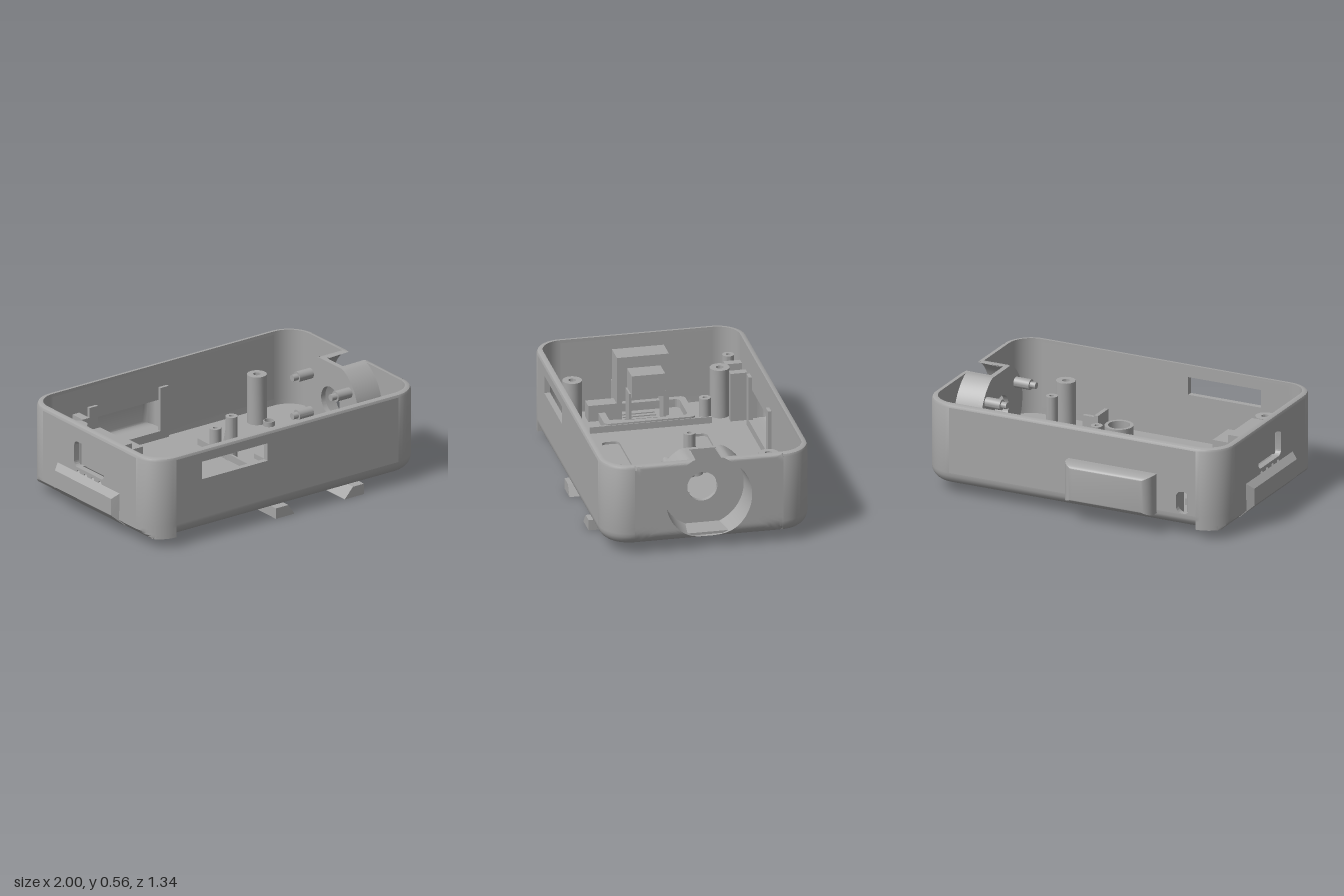
import * as THREE from 'three';
import { toCreasedNormals } from 'three/addons/utils/BufferGeometryUtils.js';

const grey = new THREE.MeshStandardMaterial({ color: 0xa6a6a6, side: THREE.DoubleSide });
grey.name = 'grey plastic';

export function createModel() {
  const model = new THREE.Group();
  const add = (name, geo, crease = 0.6) => {
    const m = new THREE.Mesh(toCreasedNormals(geo, crease), grey);
    m.name = name;
    model.add(m);
    return m;
  };
  const box = (name, x0, x1, y0, y1, z0, z1) =>
    add(name, new THREE.BoxGeometry(x1 - x0, y1 - y0, z1 - z0)
      .translate((x0 + x1) / 2, (y0 + y1) / 2, (z0 + z1) / 2));
  // rectangle with optional rounded corners
  const rect = (x0, y0, x1, y1, r = 0) => {
    const s = new THREE.Shape();
    if (!r) return s.setFromPoints([[x0, y0], [x1, y0], [x1, y1], [x0, y1]].map(p => new THREE.Vector2(...p)));
    s.absarc(x1 - r, y1 - r, r, 0, Math.PI / 2);
    s.absarc(x0 + r, y1 - r, r, Math.PI / 2, Math.PI);
    s.absarc(x0 + r, y0 + r, r, Math.PI, Math.PI * 1.5);
    s.absarc(x1 - r, y0 + r, r, Math.PI * 1.5, Math.PI * 2);
    return s;
  };
  const circle = (x, y, r) => new THREE.Shape().absarc(x, y, r, 0, Math.PI * 2);
  const extrude = (shape, depth, holes = []) => {
    shape.holes.push(...holes);
    return new THREE.ExtrudeGeometry(shape, { depth, bevelEnabled: false, curveSegments: 12 });
  };
  // plan shape (x, z) raised from y0 to y1
  const slab = (shape, y0, y1, holes) => extrude(shape, y1 - y0, holes).rotateX(Math.PI / 2).translate(0, y1, 0);
  // skin over a row of point rings
  const loft = (rings, closed = true, skip = () => false) => {
    const n = rings[0].length, idx = [];
    for (let k = 0; k < rings.length - 1; k++)
      for (let i = 0; i < (closed ? n : n - 1); i++) {
        if (skip(k, i)) continue;
        const a = k * n + i, b = k * n + (i + 1) % n;
        idx.push(a, a + n, b, b, a + n, b + n);
      }
    const g = new THREE.BufferGeometry();
    g.setAttribute('position', new THREE.Float32BufferAttribute(rings.flat(2), 3));
    g.setIndex(idx);
    return g;
  };

  // Case shell: rounded corners, bottom fillet except at the left end
  const N = 10;
  const ring = (y, inset, li, shift = 0) => {
    const pts = [];
    const arc = (cx, cz, r, q) => {
      for (let i = 0; i <= N; i++) {
        const a = (q + i / N) * Math.PI / 2;
        pts.push([Math.max(cx + r * Math.cos(a), -0.96 + shift), y, cz + r * Math.sin(a)]);
      }
    };
    arc(0.82, 0.49, 0.18 - inset, 0);
    pts.push([-0.79, y, 0.67 - inset]);
    arc(-0.79, 0.5, 0.17 - li, 1);
    arc(-0.79, -0.405, 0.17 - li, 2);
    pts.push([-0.79, y, -0.575 + inset]);
    arc(0.82, -0.395, 0.18 - inset, 3);
    return pts;
  };
  const rings = [];
  for (let i = 0; i <= 6; i++) {
    const a = i * Math.PI / 12, y = 0.14 - 0.08 * Math.cos(a);
    rings.push(ring(y, 0.08 * (1 - Math.sin(a)), 0, Math.max(0, 0.1 - y)));
  }
  [[0.545, 0], [0.559, 0.006], [0.565, 0.02], [0.565, 0.035], [0.545, 0.035], [0.14, 0.035], [0.095, 0.035]]
    .forEach(([y, d]) => rings.push(ring(y, d, d)));
  const straight = [N, 2 * N + 2, 3 * N + 4], rightSide = 4 * N + 5;
  add('caseShell', loft(rings, true, (k, i) => i === rightSide || ((k === 6 || k === 11) && straight.includes(i))));

  // Straight wall panels with their openings
  add('frontWall', extrude(rect(-0.79, 0.14, 0.82, 0.545), 0.035, [rect(-0.605, 0.38, -0.13, 0.49)]).translate(0, 0, 0.635));
  add('backWall', extrude(rect(-0.79, 0.14, 0.82, 0.545), 0.035,
    [rect(-0.5, 0.15, 0.01, 0.34), rect(-0.75, 0.14 + 0.005, -0.66, 0.28, 0.04)]).translate(0, 0, -0.575));
  const ports = [rect(-0.1, 0.3, 0.19, 0.46, 0.03)];
  for (let i = 0; i < 4; i++) ports.push(circle(-0.06 + i * 0.07, 0.28 - 0.01, 0.014));
  add('leftWall', extrude(rect(-0.405, 0.14, 0.5, 0.545), 0.035, ports).rotateY(-Math.PI / 2).translate(-0.925, 0, 0));

  // Right wall around the round recess, open at the top
  const CY = 0.325, CZ = 0.0475, HALF = 0.4425, GAP = 0.366;
  const outerX = y => y < 0.14 ? 0.92 + Math.sqrt(Math.max(0, 0.0064 - (0.14 - y) ** 2))
    : y > 0.545 ? 0.98 + Math.sqrt(Math.max(0, 0.0004 - (y - 0.545) ** 2)) : 1;
  const c1 = Math.atan2(HALF, 0.24), c2 = Math.PI - Math.atan2(HALF, 0.265);
  const angles = [c1, c2, 2 * Math.PI - c1, 2 * Math.PI - c2];
  for (let i = 0; i <= 96; i++) angles.push(GAP + (2 * Math.PI - 2 * GAP) * i / 96);
  angles.sort((a, b) => a - b);
  const wallRow = (t, inner) => angles.map(a => {
    const s = Math.sin(a), c = Math.cos(a);
    const R = Math.min(HALF / Math.max(Math.abs(s), 1e-6), (c > 0 ? 0.24 : 0.265) / Math.max(Math.abs(c), 1e-6));
    const r0 = Math.min(0.257, R), r = r0 + (R - r0) * t;
    const y = CY + r * c;
    return inner ? [0.965, Math.max(0.09, y), CZ + r * s] : [outerX(y), y, CZ + r * s];
  });
  const rows = [];
  for (let i = 0; i <= 18; i++) rows.push(wallRow(i / 18, false));
  rows.push(wallRow(1, true), wallRow(0, true));
  add('rightWall', loft(rows, false));

  // Recessed cup and its back plate
  const turned = (profile, gap) => {
    const g = new THREE.LatheGeometry(profile.map(p => new THREE.Vector2(...p)), 72, Math.PI * 1.5 + gap, 2 * Math.PI - 2 * gap)
      .rotateZ(-Math.PI / 2).translate(0, CY, CZ);
    const p = g.attributes.position;
    for (let i = 0; i < p.count; i++) {
      p.setY(i, Math.min(p.getY(i), 0.565));
      p.setX(i, Math.min(p.getX(i), outerX(p.getY(i))));
    }
    return g;
  };
  add('cupWall', turned([[0.257, 1], [0.247, 0.82], [0.268, 0.8], [0.268, 0.97]], 0.3));
  add('cupBackPlate', turned([[0.25, 0.82], [0.09, 0.82], [0.09, 0.79], [0.268, 0.79], [0.268, 0.82], [0.25, 0.82]], 0));
  for (const z of [-0.145, 0.23]) for (const y of [0.2, 0.44])
    for (const [x0, x1, r] of [[0.69, 0.8, 0.032], [0.655, 0.69, 0.02]])
      add('cupPeg', new THREE.CylinderGeometry(r, r, x1 - x0, 20).rotateZ(Math.PI / 2).translate((x0 + x1) / 2, y, z));

  // Floor with screw holes, vents and shallow pockets
  const bosses = [[-0.71, -0.4], [0.59, -0.4], [-0.71, 0.48], [0.59, 0.48]];
  const floorHoles = () => {
    const h = bosses.map(([x, z]) => circle(x, z, 0.034));
    h.push(circle(0.245, 0.485, 0.04));
    for (let i = 0; i < 5; i++) h.push(rect(-0.835 + i * 0.04, -0.04, -0.82 + i * 0.04, 0.16));
    return h;
  };
  const outline = inset => new THREE.Shape(ring(0, inset, Math.min(inset, 0.03), 0.035).map(p => new THREE.Vector2(p[0], p[2])));
  const bottom = new THREE.Shape(ring(0, 0.08, 0, 0.04).map(p => new THREE.Vector2(p[0], p[2])));
  add('floorBottom', slab(bottom, 0.06, 0.085, floorHoles()));
  add('floorTop', slab(outline(0.03), 0.085, 0.1,
    [...floorHoles(), rect(-0.455, -0.265, -0.04, -0.16, 0.03), rect(-0.455, 0.26, -0.04, 0.365, 0.03)]));

  // Screw bosses and small hollow posts
  const tube = (name, x, z, r, hole, y0, y1) => add(name, slab(circle(x, z, r), y0, y1, [circle(x, z, hole)]));
  bosses.forEach(([x, z]) => tube('screwBoss', x, z, 0.058, 0.022, 0.085, 0.4));
  [[-0.635, -0.295, 0.25], [-0.84, -0.48, 0.42], [0.59, 0.3, 0.365], [0.135, -0.195, 0.24], [0.13, -0.03, 0.37]]
    .forEach(([x, z, h]) => tube('smallPost', x, z, 0.035, 0.014, 0.1, h));
  tube('floorRing', 0.615, -0.315, 0.035, 0.028, 0.1, 0.13);
  const brace = add('leaningBrace', new THREE.CylinderGeometry(0.033, 0.033, 0.2, 20));
  brace.position.set(0.13, 0.2, -0.055);
  brace.rotation.x = 0.25;
  tube('nutHolder', 0.245, 0.485, 0.085, 0.065, 0.1, 0.18);
  const hex = new THREE.Shape();
  for (let i = 0; i < 6; i++) hex[i ? 'lineTo' : 'moveTo'](0.245 + 0.06 * Math.cos(i * Math.PI / 3), 0.485 + 0.06 * Math.sin(i * Math.PI / 3));
  add('nut', slab(hex, 0.1, 0.13, [circle(0.245, 0.485, 0.036)]));

  // Ridges and brackets on the floor
  box('longRidge', 0.1, 0.115, 0.1, 0.14, -0.32, 0.4);
  box('leftRidge', -0.61, -0.595, 0.1, 0.14, -0.33, 0.4);
  for (const x of [0.24, 0.385]) box('shortRidge', x, x + 0.055, 0.1, 0.13, 0.04, 0.255);
  box('holderBase', 0.335, 0.435, 0.1, 0.15, 0.39, 0.525);
  box('holderPlate', 0.335, 0.36, 0.1, 0.25, 0.39, 0.525);
  box('holderPlate', 0.36, 0.435, 0.1, 0.24, 0.39, 0.415);
  for (const x of [-0.79, -0.645]) box('switchBracket', x, x + 0.05, 0.1, 0.4, -0.545, -0.44);

  // Connector housing at the left end
  add('connectorFrame', slab(rect(-0.91, -0.235, -0.6, 0.31, 0.03), 0.1, 0.15, [rect(-0.875, -0.195, -0.635, 0.27, 0.03)]));
  box('connectorHousing', -0.9, -0.765, 0.29, 0.49, -0.11, 0.2);
  for (const z of [-0.11, 0.17]) box('connectorLeg', -0.93, -0.765, 0.1, 0.29, z, z + 0.03);
  box('connectorPlug', -0.765, -0.64, 0.28, 0.42, -0.06, 0.14);
  for (const z of [-0.07, 0.135]) box('connectorRail', -0.765, -0.665, 0.1, 0.3, z, z + 0.015);
  box('cornerBlock', -0.855, -0.77, 0.1, 0.2, 0.2, 0.37);

  // Hollow bulge on the back wall, and the frame tabs behind it
  const bulgeRings = (d, zEnd) => {
    const out = [];
    const level = (z, ix, iy) => {
      const x0 = -0.535 + ix, x1 = 0.04 - ix, y0 = 0.12 + iy, y1 = 0.365 - iy;
      out.push([[x0, y0, z], [x1, y0, z], [x1, y1, z], [x0, y1, z]]);
    };
    level(-0.56, d, d);
    for (let i = 0; i <= 8; i++) {
      const a = i * Math.PI / 16, k = 1 - Math.cos(a);
      level(-0.6 + (zEnd + 0.6) * Math.sin(a), d + 0.07 * k, d + 0.03 * k);
    }
    level(zEnd, 0.2875, 0.1225);
    return out;
  };
  add('backBulge', loft(bulgeRings(0, -0.67)));
  add('backBulgeInside', loft(bulgeRings(0.03, -0.645)));
  for (const x of [-0.535, -0.02]) box('frameTab', x, x + 0.06, 0.1, 0.42, -0.545, -0.52);
  box('frameSill', -0.535, 0.04, 0.1, 0.15, -0.545, -0.52);

  // Wedge grip on the left end
  const wedgeShape = new THREE.Shape([[-0.94, 0.285], [-1, 0.235], [-1, 0.13], [-0.925, 0.06], [-0.92, 0.06]].map(p => new THREE.Vector2(...p)));
  const wedge = extrude(wedgeShape, 0.63).translate(0, 0, -0.275);
  const wp = wedge.attributes.position;
  for (let i = 0; i < wp.count; i++)
    if (wp.getX(i) < -0.98) wp.setZ(i, 0.04 + (wp.getZ(i) - 0.04) * 0.87);
  add('endWedge', wedge, 0.2);

  // Dovetail clip under the case, open toward the front
  const clip = new THREE.Shape();
  clip.moveTo(-0.07, 0.67);
  clip.lineTo(-0.07, -0.05);
  clip.absarc(0.03, -0.05, 0.1, Math.PI, Math.PI * 1.5);
  clip.absarc(0.47, -0.05, 0.1, Math.PI * 1.5, Math.PI * 2);
  [[0.57, 0.67], [0.43, 0.67], [0.43, 0], [0.065, 0], [0.065, 0.67]].forEach(p => clip.lineTo(...p));
  const clipGeo = slab(clip, 0, 0.065);
  const cp = clipGeo.attributes.position;
  for (let i = 0; i < cp.count; i++) {
    const x = cp.getX(i), z = cp.getZ(i);
    if (cp.getY(i) < 0.03 || z < -0.001) continue;
    if (Math.abs(x - 0.065) < 1e-3) cp.setX(i, 0.02);
    if (Math.abs(x - 0.43) < 1e-3) cp.setX(i, 0.49);
    if (z < 0.001 && x > 0.06 && x < 0.44) cp.setZ(i, -0.04);
  }
  add('dovetailClip', clipGeo, 0.4);

  return model;
}
